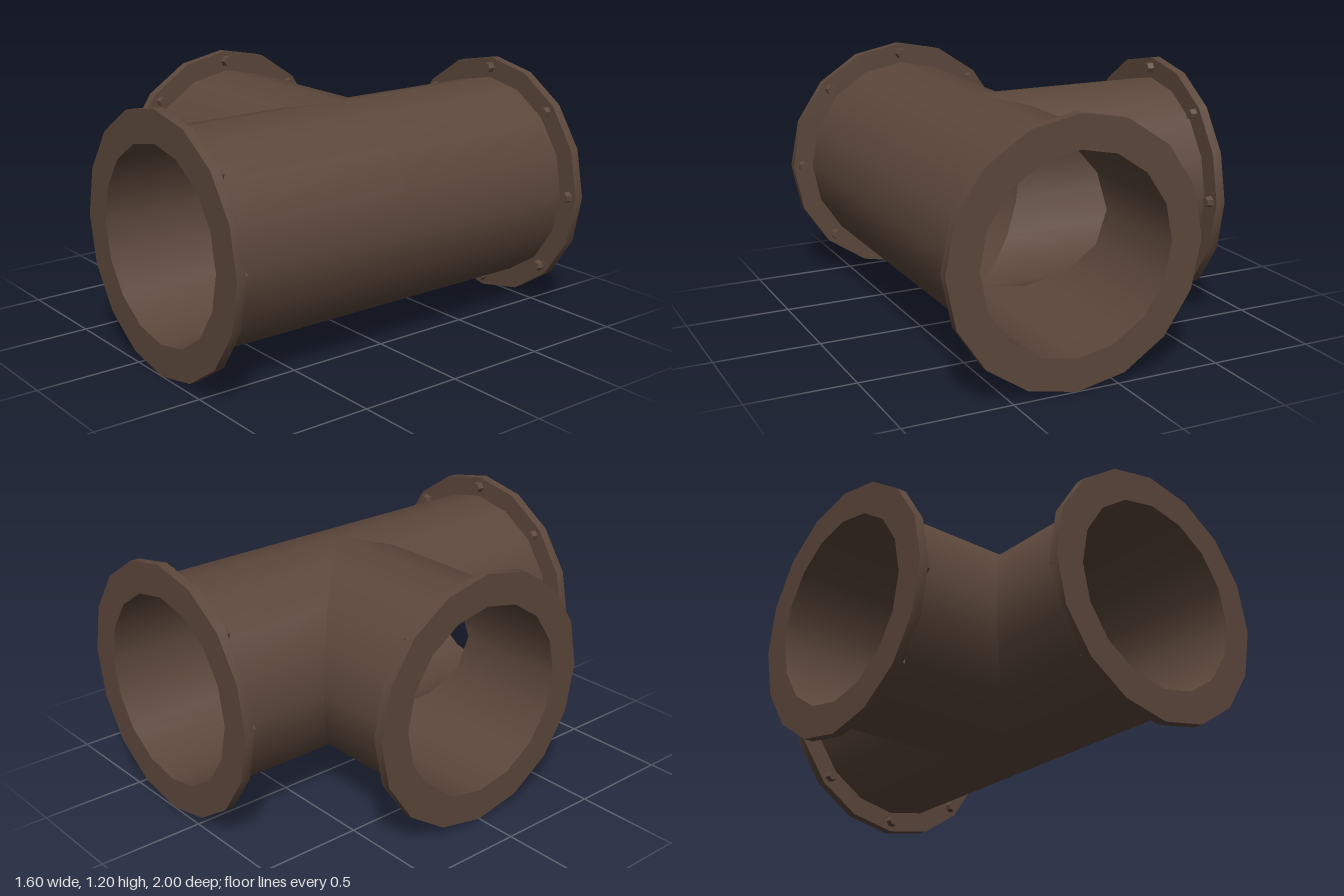
import * as THREE from 'three';
import { toCreasedNormals } from 'three/addons/utils/BufferGeometryUtils.js';

const SIDES = 16, OUTER = 0.5, INNER = 0.45, FLANGE = 0.6;

// Pipe wall along +z from a mitred start (a function of the angle) to z = length
function pipeWall(radius, length, startAt, inward) {
  const pos = [], nor = [], idx = [];
  const s = inward ? -1 : 1;
  for (let i = 0; i <= SIDES; i++) {
    const t = (i / SIDES) * Math.PI * 2;
    const c = Math.cos(t), n = Math.sin(t);
    for (const z of [startAt(radius * c), length]) {
      pos.push(radius * c, radius * n, z);
      nor.push(s * c, s * n, 0);
    }
    if (i < SIDES) {
      const a = i * 2, b = a + 2;
      if (inward) idx.push(a, a + 1, b, b, a + 1, b + 1);
      else idx.push(a, b, a + 1, b, b + 1, a + 1);
    }
  }
  const g = new THREE.BufferGeometry();
  g.setAttribute('position', new THREE.Float32BufferAttribute(pos, 3));
  g.setAttribute('normal', new THREE.Float32BufferAttribute(nor, 3));
  g.setIndex(idx);
  return g;
}

export function createModel() {
  const model = new THREE.Group();
  model.name = 'teePipe';
  const brown = new THREE.MeshStandardMaterial({ color: 0x5c473b });
  brown.name = 'rustyBrown';

  const add = (parent, name, geometry) => {
    const mesh = new THREE.Mesh(geometry, brown);
    mesh.name = name;
    parent.add(mesh);
    return mesh;
  };

  // Flange ring, open towards the bore
  const profile = [[INNER, 0.955], [FLANGE, 0.955], [FLANGE, 1], [INNER, 1]]
    .map(([r, y]) => new THREE.Vector2(r, y));
  const flangeGeo = toCreasedNormals(new THREE.LatheGeometry(profile, SIDES), 0.6);
  flangeGeo.rotateX(Math.PI / 2);

  // Faceted bolt head
  const boltGeo = toCreasedNormals(new THREE.CylinderGeometry(0.028, 0.024, 0.035, 6), 0.3);
  boltGeo.rotateX(Math.PI / 2);

  // Three arms meeting at the centre, each mitred where it joins the others
  const arms = [
    { name: 'frontArm', turn: 0, start: x => Math.max(0, -x) },
    { name: 'backArm', turn: Math.PI, start: x => Math.max(0, x) },
    { name: 'sideArm', turn: -Math.PI / 2, start: x => Math.abs(x) },
  ];
  for (const { name, turn, start } of arms) {
    const arm = new THREE.Group();
    arm.name = name;
    arm.position.set(0.2, 0.6, 0);
    arm.rotation.y = turn;
    add(arm, 'outerWall', pipeWall(OUTER, 0.96, start, false));
    add(arm, 'innerWall', pipeWall(INNER, 1, start, true));
    add(arm, 'flange', flangeGeo);
    // Eight bolts behind the flange
    for (let i = 0; i < 8; i++) {
      const a = (i * Math.PI) / 4;
      const bolt = add(arm, 'bolt', boltGeo);
      bolt.position.set(0.55 * Math.cos(a), 0.55 * Math.sin(a), 0.942);
      bolt.rotation.z = a;
    }
    model.add(arm);
  }
  return model;
}
